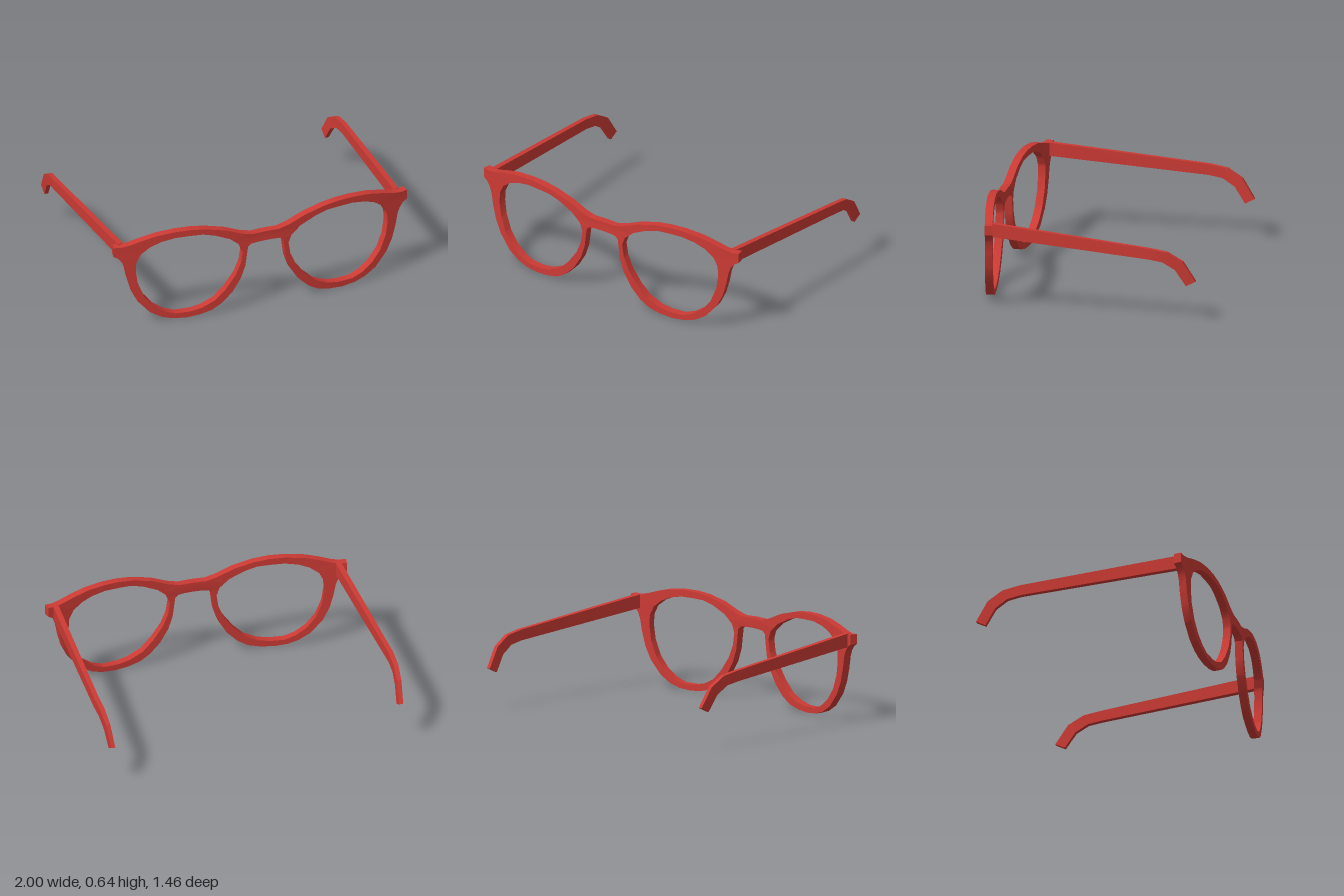
import * as THREE from 'three';
import { toCreasedNormals } from 'three/addons/utils/BufferGeometryUtils.js';

// Half outline of the front, from the top of the bridge round to its underside
const OUTER = [
  [0, 0.54], [0.09, 0.537], [0.16, 0.555], [0.27, 0.6], [0.4, 0.632], [0.5, 0.643], [0.6, 0.643],
  [0.72, 0.63], [0.82, 0.605], [0.9, 0.58], [0.95, 0.571], [0.995, 0.575], [0.995, 0.51],
  [0.965, 0.493], [0.94, 0.46], [0.925, 0.42], [0.91, 0.34], [0.885, 0.25], [0.843, 0.165], [0.765, 0.075],
  [0.69, 0.03], [0.62, 0.008], [0.53, 0], [0.44, 0.008], [0.36, 0.028], [0.293, 0.068], [0.223, 0.138],
  [0.167, 0.23], [0.138, 0.315], [0.127, 0.4], [0.12, 0.45], [0.1, 0.468], [0.06, 0.473], [0, 0.475],
];

// Lens opening
const LENS = [
  [0.5, 0.6], [0.6, 0.6], [0.69, 0.583], [0.76, 0.555], [0.82, 0.51], [0.85, 0.45], [0.853, 0.38],
  [0.84, 0.29], [0.8, 0.19], [0.74, 0.115], [0.67, 0.065], [0.6, 0.04], [0.5, 0.04], [0.425, 0.055],
  [0.34, 0.095], [0.27, 0.163], [0.203, 0.255], [0.167, 0.34], [0.155, 0.42], [0.175, 0.475],
  [0.24, 0.53], [0.34, 0.575], [0.42, 0.597],
];

// Temple stations: top z, top y, bottom z, bottom y, distance from the middle, width
const TEMPLE = [
  [0.595, 0.577, 0.595, 0.49, 0.938, 0.036],
  [-0.43, 0.48, -0.43, 0.41, 0.978, 0.031],
  [-0.55, 0.46, -0.52, 0.395, 0.974, 0.03],
  [-0.65, 0.4, -0.6, 0.345, 0.966, 0.028],
  [-0.73, 0.272, -0.668, 0.24, 0.955, 0.026],
];

// Triangles through a row of four-cornered sections, joined in a ring or capped at both ends
function loft(sections, ring) {
  const out = [];
  const quad = (a, b, c, d) => out.push(...a, ...b, ...c, ...a, ...c, ...d);
  const n = sections.length;
  for (let i = 0; i < (ring ? n : n - 1); i++) {
    const s = sections[i], t = sections[(i + 1) % n];
    for (let k = 0; k < 4; k++) {
      const m = (k + 1) % 4;
      quad(s[k], s[m], t[m], t[k]);
    }
  }
  if (!ring) {
    quad(...[...sections[0]].reverse());
    quad(...sections[n - 1]);
  }
  return out;
}

function toGeometry(positions, crease) {
  const geometry = new THREE.BufferGeometry();
  geometry.setAttribute('position', new THREE.Float32BufferAttribute(positions, 3));
  return toCreasedNormals(geometry, crease);
}

// Where a ray from the centre of the lens meets an outline
const CX = 0.5, CY = 0.47;
function rayHit(outline, angle) {
  const dx = Math.cos(angle), dy = Math.sin(angle);
  for (let i = 0; i < outline.length; i++) {
    const p = outline[i], q = outline[(i + 1) % outline.length];
    const cp = dx * (p[1] - CY) - dy * (p[0] - CX);
    const cq = dx * (q[1] - CY) - dy * (q[0] - CX);
    if (cp * cq > 0) continue;
    const s = cp / (cp - cq);
    const x = p[0] + s * (q[0] - p[0]), y = p[1] + s * (q[1] - p[1]);
    if (dx * (x - CX) + dy * (y - CY) > 0) return [x, y];
  }
}

// Wraps a point of the flat front, at depth t, onto a shallow curve
function bend([x, y], t) {
  const slope = 0.2 * x, len = Math.hypot(slope, 1);
  return [x + (t * slope) / len, y, 0.703 - 0.1 * x * x + t / len];
}

// Front: a rim swept round each lens, the two meeting in the middle of the bridge
function frontGeometry() {
  const angles = [...OUTER, ...LENS].map(([x, y]) => Math.atan2(y - CY, x - CX)).sort((a, b) => a - b);
  const distinct = angles.filter((a, i) => i === 0 || a - angles[i - 1] > 1e-5);
  const half = distinct.map((a) => {
    const inner = rayHit(LENS, a), outer = rayHit(OUTER, a);
    return [bend(inner, -0.025), bend(inner, 0.025), bend(outer, 0.025), bend(outer, -0.025)];
  });
  const mirrored = half.map((s) => s.map(([x, y, z]) => [-x, y, z]).reverse());
  return toGeometry([...loft(half, true), ...loft(mirrored, true)], 0.6);
}

function templeGeometry(side) {
  const sections = TEMPLE.map(([zt, yt, zb, yb, offset, width]) => {
    const a = side * offset - width / 2, b = side * offset + width / 2;
    return [[a, yb, zb], [a, yt, zt], [b, yt, zt], [b, yb, zb]];
  });
  return toGeometry(loft(sections, false), 0.2);
}

export function createModel() {
  const group = new THREE.Group();
  group.name = 'glasses';
  const red = new THREE.MeshStandardMaterial({ color: 0xcc3a34 });
  red.name = 'red';

  const add = (name, geometry) => {
    const mesh = new THREE.Mesh(geometry, red);
    mesh.name = name;
    group.add(mesh);
  };

  add('frontFrame', frontGeometry());
  add('leftTemple', templeGeometry(1));
  add('rightTemple', templeGeometry(-1));
  return group;
}
